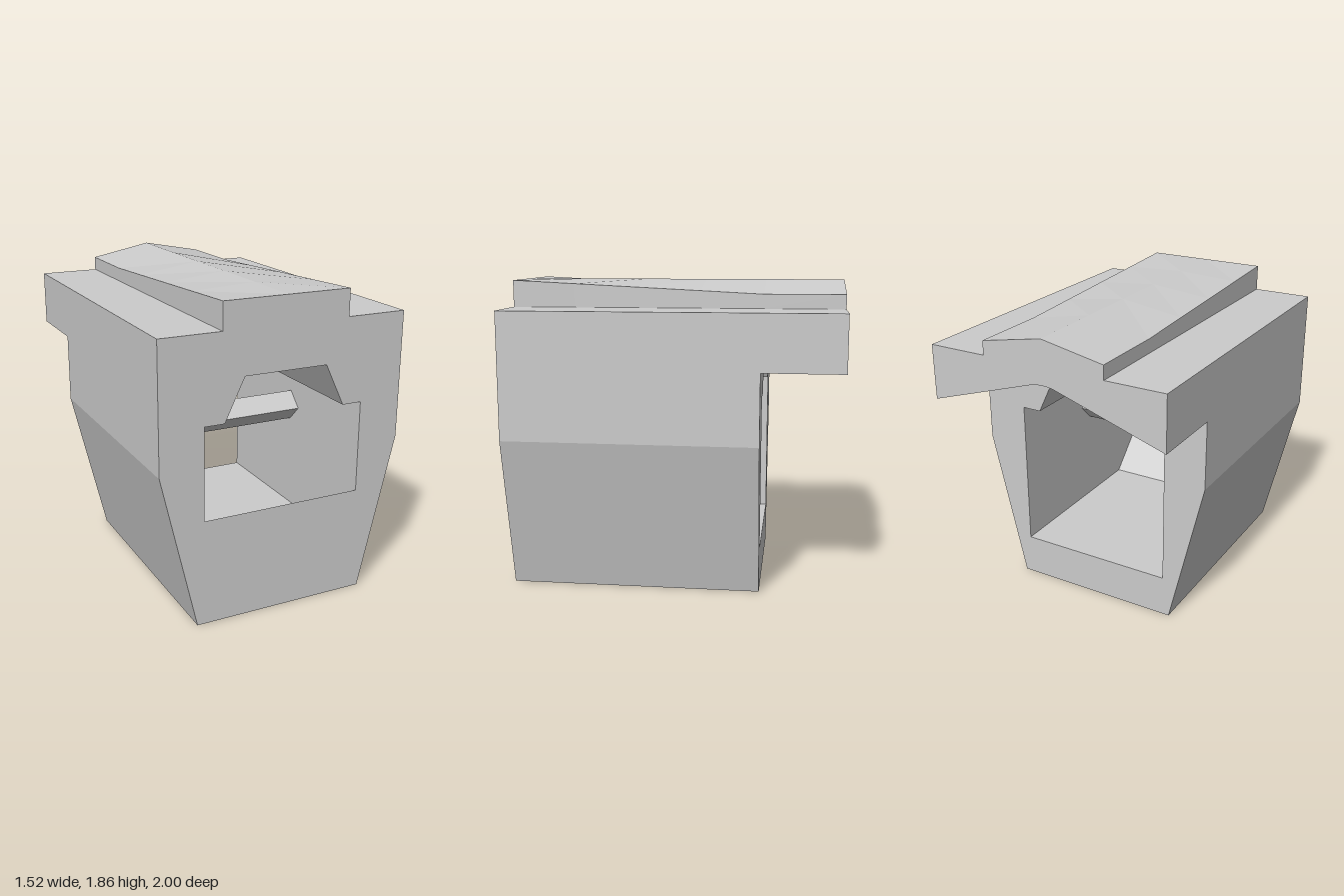
import * as THREE from 'three';

const material = new THREE.MeshStandardMaterial({ color: 0xcccccc, flatShading: true });
const BACK = -1, STEP = -0.52, FRONT = 1;   // overhang back, body back, front face
const TOP = 1.86, RIDGE_DROP = 0.075;       // raised rail on the roof
const HOLE = 0.495, FLOOR = 0.26, LIP = 0.64;

const mirror = (half) => [...half, ...half.slice().reverse().map(([x, y]) => [-x, y])];
const points = (list) => list.map(([x, y]) => new THREE.Vector2(x, y));

// Roof outline from the +x edge to the -x edge, with a ridge point in the middle
const roof = [[0.76, 1.7], [0.39, 1.7], [0.39, TOP], [0, TOP],
  [-0.39, TOP], [-0.39, 1.7], [-0.76, 1.7]];

// Extrude along z, then move vertices by a rule
function extrude(shape, z0, z1, steps, rule) {
  const geometry = new THREE.ExtrudeGeometry(shape, {
    depth: z1 - z0, steps, curveSegments: 12, bevelEnabled: false,
  });
  geometry.translate(0, 0, z0);
  const p = geometry.attributes.position;
  for (let i = 0; i < p.count; i++) p.setY(i, rule(p.getX(i), p.getY(i), p.getZ(i)));
  geometry.computeVertexNormals();
  return geometry;
}

// The rail is flat at the front; its side edges sink towards the back to leave a ridge
function sinkRail(x, y, z) {
  const t = Math.min(1, (FRONT - z) / (FRONT - STEP));
  return y > TOP - 0.001 && Math.abs(x) > 0.3 ? y - RIDGE_DROP * t : y;
}

function add(group, name, geometry) {
  const mesh = new THREE.Mesh(geometry, material);
  mesh.name = name;
  group.add(mesh);
}

export function createModel() {
  const group = new THREE.Group();
  group.name = 'hollowBlock';

  // Body with a stepped tunnel; the tunnel floor ramps up to a lip at the front
  const body = new THREE.Shape(points([[-0.76, 0.94], [-0.54, 0], [0.54, 0], [0.76, 0.94], ...roof]));
  body.holes.push(new THREE.Path(points(
    mirror([[HOLE, FLOOR], [HOLE, 1.19], [0.375, 1.19], [0.255, 1.44]]))));
  add(group, 'body', extrude(body, STEP, FRONT, 4, (x, y, z) =>
    z > FRONT - 0.001 && Math.abs(y - FLOOR) < 0.001 ? LIP : sinkRail(x, y, z)));

  // Overhang at the back with a rounded arch below
  const hood = new THREE.Shape();
  hood.moveTo(-0.76, 1.365);
  hood.lineTo(-0.09, 1.58);
  hood.quadraticCurveTo(0, 1.609, 0.09, 1.58);
  hood.lineTo(0.76, 1.365);
  roof.forEach(([x, y]) => hood.lineTo(x, y));
  add(group, 'overhang', extrude(hood, BACK, STEP, 1, sinkRail));

  // Square bar set on edge across the tunnel
  const side = 0.095 * Math.SQRT2;
  const bar = new THREE.BoxGeometry(HOLE * 2, side, side);
  bar.rotateX(Math.PI / 4);
  bar.translate(0, 0.945, 0.23);
  add(group, 'crossBar', bar);

  return group;
}
